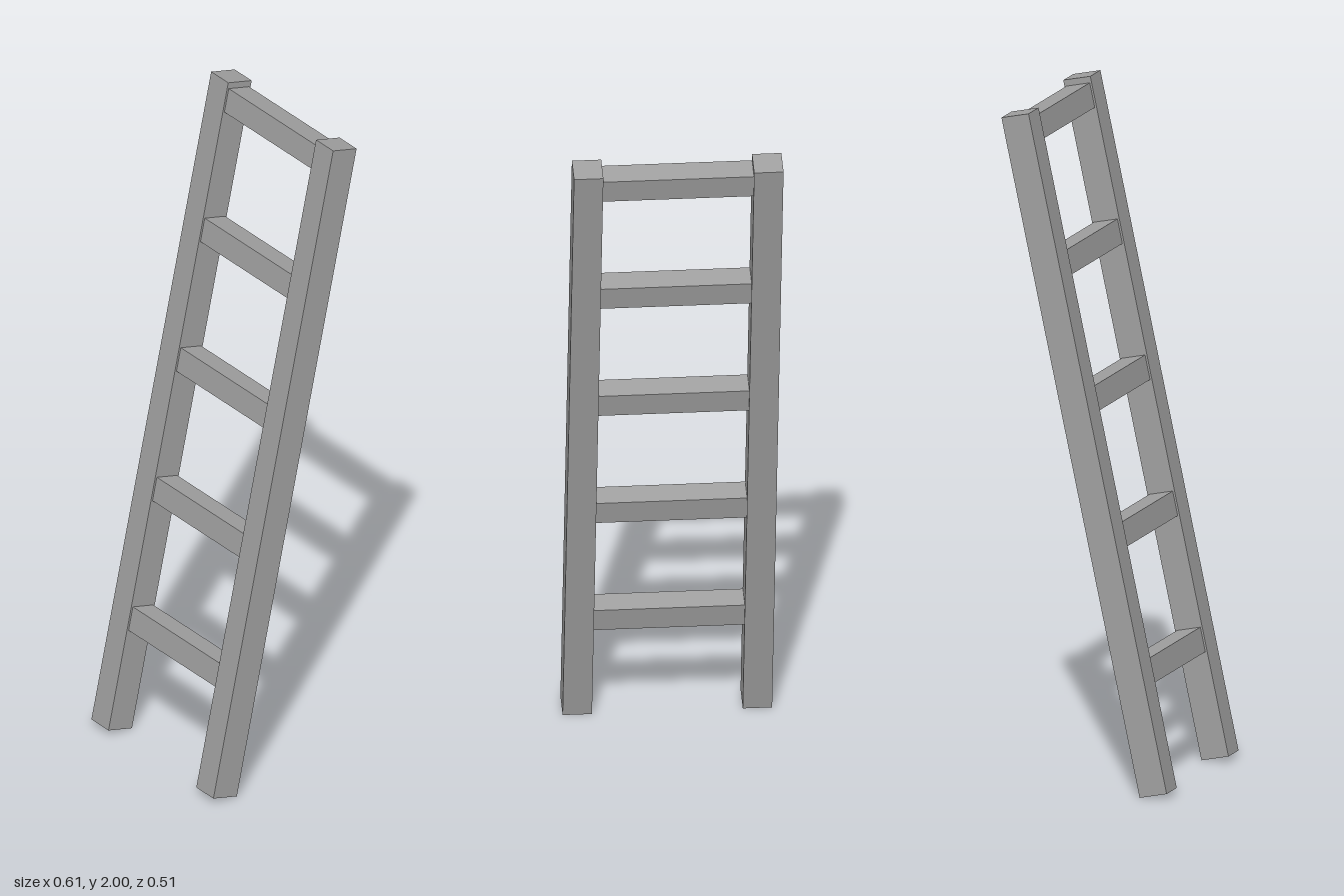
import * as THREE from 'three';

const LEAN = 0.2112; // backward tilt
const STILE = { size: 0.085, length: 2.027, x: 0.261 };
const RUNG = { size: 0.0735, count: 5, first: -0.664, step: 0.4055 };

export function createModel() {
  const grey = new THREE.MeshStandardMaterial({ color: 0xa0a0a0 });
  grey.name = 'grey';

  const ladder = new THREE.Group();
  ladder.name = 'ladder';

  // Two square side rails
  const stileGeometry = new THREE.BoxGeometry(STILE.size, STILE.length, STILE.size);
  for (const side of [1, -1]) {
    const stile = new THREE.Mesh(stileGeometry, grey);
    stile.name = side > 0 ? 'leftStile' : 'rightStile';
    stile.position.x = side * STILE.x;
    ladder.add(stile);
  }

  // Evenly spaced square rungs butting against the rails
  const rungLength = 2 * STILE.x - STILE.size;
  const rungGeometry = new THREE.BoxGeometry(rungLength, RUNG.size, RUNG.size);
  for (let i = 0; i < RUNG.count; i++) {
    const rung = new THREE.Mesh(rungGeometry, grey);
    rung.name = `rung${i + 1}`;
    rung.position.y = RUNG.first + i * RUNG.step;
    ladder.add(rung);
  }

  // Lean the whole ladder back and stand it on the ground
  ladder.rotation.x = -LEAN;
  ladder.position.y = 1;

  const model = new THREE.Group();
  model.name = 'leaningLadder';
  model.add(ladder);
  return model;
}
